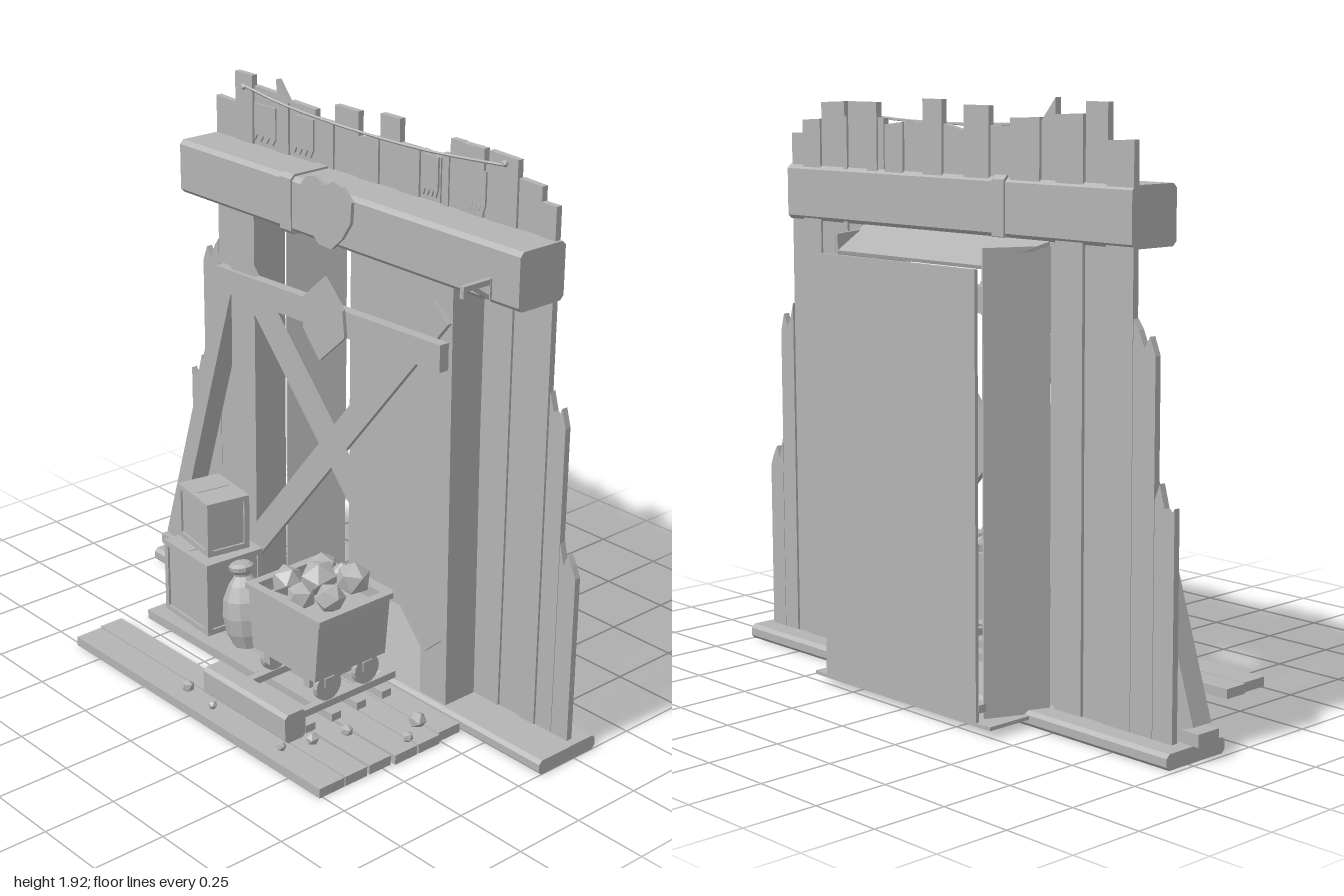
import * as THREE from 'three';

const stone = new THREE.MeshStandardMaterial({ color: 0xb4b4b4, side: THREE.DoubleSide, flatShading: true });
stone.name = 'plain grey';

export function createModel() {
  const root = new THREE.Group();
  root.name = 'mineEntrance';

  const add = (name, geo, x = 0, y = 0, z = 0, parent = root) => {
    const m = new THREE.Mesh(geo, stone);
    m.name = name;
    m.position.set(x, y, z);
    parent.add(m);
    return m;
  };
  // Box given by its limits
  const box = (name, x0, x1, y0, y1, z0, z1, parent = root) =>
    add(name, new THREE.BoxGeometry(x1 - x0, y1 - y0, z1 - z0), (x0 + x1) / 2, (y0 + y1) / 2, (z0 + z1) / 2, parent);
  // Upright outline in x and y with a thickness in z
  const plate = (name, pts, z0, z1) => {
    const shape = new THREE.Shape(pts.map(p => new THREE.Vector2(p[0], p[1])));
    return add(name, new THREE.ExtrudeGeometry(shape, { depth: z1 - z0, bevelEnabled: false }), 0, 0, z0);
  };
  // Timber between two points in a plane of constant z
  const timber = (name, ax, ay, bx, by, width, z0, z1) => {
    const m = add(name, new THREE.BoxGeometry(Math.hypot(bx - ax, by - ay), width, z1 - z0), (ax + bx) / 2, (ay + by) / 2, (z0 + z1) / 2);
    m.rotation.z = Math.atan2(by - ay, bx - ax);
    return m;
  };
  // Chamfered bar along x
  const bar = (name, x0, x1, y0, y1, z0, z1, c) => {
    const s = new THREE.Shape([[-z1 + c, y0], [-z0 - c, y0], [-z0, y0 + c], [-z0, y1 - c], [-z0 - c, y1], [-z1 + c, y1], [-z1, y1 - c], [-z1, y0 + c]]
      .map(p => new THREE.Vector2(p[0], p[1])));
    const g = new THREE.ExtrudeGeometry(s, { depth: x1 - x0, bevelEnabled: false });
    g.rotateY(Math.PI / 2);
    return add(name, g, x0, 0, 0);
  };

  // Ground sill and floor planks
  bar('sill', -0.98, 1, 0, 0.05, -0.345, -0.09, 0.012);
  [[-0.63, 0.65, -0.088, 0.008], [-0.63, 0.66, 0.012, 0.105], [-0.63, 0.66, 0.11, 0.205], [-0.01, 0.65, 0.215, 0.305],
    [-0.64, 0.65, 0.315, 0.405], [-0.63, 0.65, 0.41, 0.512]].forEach(([a, b, c, d]) => box('floorPlank', a, b, 0, 0.033, c, d));

  // Wall boards: x limits, bottom, height at each top corner
  const tall = [[-0.76, -0.65, 0.05, 1.805, 1.8], [-0.65, -0.56, 0.05, 1.91, 1.91], [-0.555, -0.44, 0.05, 1.875, 1.87],
    [-0.435, -0.375, 1.5, 1.92, 1.85], [-0.372, -0.245, 1.5, 1.86, 1.855], [-0.243, -0.152, 1.5, 1.83, 1.83],
    [-0.15, -0.037, 1.5, 1.89, 1.89], [-0.035, 0.063, 1.5, 1.81, 1.83], [0.065, 0.155, 1.5, 1.905, 1.905],
    [0.157, 0.25, 1.5, 1.83, 1.83], [0.252, 0.34, 1.5, 1.83, 1.82], [0.352, 0.38, 1.5, 1.84, 1.84],
    [0.38, 0.43, 1.5, 1.89, 1.89], [0.432, 0.53, 0.05, 1.89, 1.89], [0.532, 0.55, 0.05, 1.84, 1.84],
    [0.55, 0.67, 0.05, 1.89, 1.885], [0.672, 0.765, 0.05, 1.83, 1.825], [0.767, 0.83, 0.05, 1.78, 1.78]];
  tall.forEach(([a, b, y, l, r], i) => {
    const z = -0.268 + (i % 2) * 0.006;
    plate('wallBoard', [[a, y], [b, y], [b, r], [a, l]], z, z + 0.022);
  });
  // Broken outer boards with splintered tops
  const splinter = (x0, x1, tops) => plate('brokenBoard',
    [[x0, 0.05], [x1, 0.05], ...tops.map((t, i) => [x1 + (x0 - x1) * i / (tops.length - 1), t])], -0.268, -0.246);
  splinter(-0.93, -0.852, [0.77, 0.82, 0.75, 0.73, 0.755]);
  splinter(-0.85, -0.762, [1.29, 1.26, 1.21, 1.245, 1.19]);
  splinter(0.832, 0.9, [1.1, 1.16, 1.12, 1.14, 1.2]);
  splinter(0.902, 0.97, [0.62, 0.66, 0.69, 0.65, 0.72]);
  // Splintered patches above the beam
  [[-0.55, -0.44], [-0.345, -0.25], [0.27, 0.335], [0.48, 0.54]].forEach(([a, b]) => {
    const teeth = Array.from({ length: 8 }, (_, i) => [a + (b - a) * i / 7, 1.69 + (i % 2) * 0.025]);
    plate('splinteredPatch', [...teeth, [b, 1.82], [a, 1.82]], -0.246, -0.239);
  });
  // Sagging rope
  const rope = new THREE.CatmullRomCurve3([[-0.6, 1.87], [-0.4, 1.845], [-0.05, 1.83], [0.3, 1.835], [0.62, 1.86]]
    .map(p => new THREE.Vector3(p[0], p[1], -0.235)));
  add('rope', new THREE.TubeGeometry(rope, 16, 0.005, 5));
  [-0.6, 0.62].forEach(x => add('ropeKnot', new THREE.IcosahedronGeometry(0.012), x, 1.865, -0.235));

  // Main beam with strap, plaque and hook
  bar('mainBeam', -0.76, 0.84, 1.49, 1.675, -0.275, -0.085, 0.014);
  bar('beamStrap', -0.23, -0.175, 1.48, 1.682, -0.28, -0.08, 0.014);
  plate('beamPlaque', [[-0.13, 1.6], [-0.09, 1.54], [-0.03, 1.49], [0.03, 1.485], [0.08, 1.53], [0.12, 1.59], [0.125, 1.66],
    [0.08, 1.7], [0.04, 1.71], [0, 1.69], [-0.05, 1.71], [-0.09, 1.7], [-0.125, 1.66]], -0.086, -0.072);
  box('hookArm', 0.712, 0.728, 1.55, 1.568, -0.09, 0.03);
  box('hookTip', 0.712, 0.728, 1.53, 1.568, 0.015, 0.03);
  box('hookPlate', 0.71, 0.73, 1.5, 1.57, -0.09, -0.078);
  add('hookStrut', new THREE.BoxGeometry(0.012, 0.012, 0.085), 0.72, 1.53, -0.05).rotation.x = -0.6;

  // Posts
  plate('rightPost', [[-0.535, 0.05], [-0.4, 0.05], [-0.4, 1.49], [-0.52, 1.49]], -0.245, -0.11);
  plate('leftPost', [[0.44, 0.05], [0.56, 0.05], [0.545, 1.49], [0.42, 1.49]], -0.245, -0.11);

  // Crossed braces, lintel and diamond plate
  timber('braceBehind', 0.51, 1.4, -0.45, 0.22, 0.09, -0.11, -0.092);
  timber('braceFront', -0.49, 1.38, 0.525, 0.265, 0.09, -0.092, -0.07);
  plate('lintel', [[-0.54, 1.205], [0.55, 1.225], [0.55, 1.315], [-0.54, 1.29]], -0.092, -0.055);
  plate('diamondPlate', [[0.01, 1.11], [0.13, 1.22], [0.12, 1.31], [0.03, 1.4], [-0.07, 1.31], [-0.07, 1.2]], -0.055, -0.042);

  // Leaning prop at the side
  timber('leaningProp', -0.945, 0.095, -0.575, 1.285, 0.07, -0.23, -0.15);
  box('propBracket', -0.58, -0.53, 1.28, 1.42, -0.24, -0.17);
  box('propFoot', -1, -0.89, 0.05, 0.09, -0.23, -0.14);

  // Tunnel recess
  box('tunnelFloor', -0.41, 0.43, 0.025, 0.037, -0.51, -0.3);
  box('tunnelBack', -0.35, 0.37, 0.037, 1.42, -0.512, -0.5);
  box('tunnelBackRail', -0.34, 0.36, 0.06, 0.085, -0.49, -0.46);
  [-1, 1].forEach(s => {
    const wall = add('tunnelWall', new THREE.BoxGeometry(0.012, 1.445, 0.215), 0.01 + s * 0.385, 0.757, -0.365);
    wall.rotation.y = s * 0.41;
  });
  const roof = plate('tunnelRoof', [[-0.425, 0], [0.44, 0], [0.355, 0.2], [-0.335, 0.2]], -0.006, 0.006);
  roof.position.set(0, 1.482, -0.27);
  roof.rotation.x = -Math.PI / 2 - 0.34;

  // Crates with raised frames
  const crate = (x, y, z, w, h, d, turn) => {
    const g = new THREE.Group();
    g.name = 'crate';
    g.position.set(x, y, z);
    g.rotation.y = turn;
    root.add(g);
    const t = 0.02, X = w / 2, Z = d / 2;
    box('crateBody', -X + 0.008, X - 0.008, 0, h - 0.008, -Z + 0.008, Z - 0.008, g);
    box('crateLid', -X, -0.002, h - 0.014, h, -Z, Z, g);
    box('crateLid', 0.002, X, h - 0.014, h, -Z, Z, g);
    [-1, 1].forEach(a => {
      [-1, 1].forEach(b => box('crateCorner', a * X - (a > 0 ? t : 0), a * X + (a < 0 ? t : 0), 0, h, b * Z - (b > 0 ? t : 0), b * Z + (b < 0 ? t : 0), g));
      [0, h - t].forEach(y0 => {
        box('crateRail', -X, X, y0, y0 + t, a * Z - (a > 0 ? t : 0), a * Z + (a < 0 ? t : 0), g);
        box('crateRail', a * X - (a > 0 ? t : 0), a * X + (a < 0 ? t : 0), y0, y0 + t, -Z, Z, g);
      });
    });
  };
  crate(-0.458, 0.033, 0.04, 0.265, 0.272, 0.235, -0.07);
  crate(-0.472, 0.306, 0.025, 0.215, 0.2, 0.165, -0.17);

  // Leaning jar
  const jar = [[0, 0], [0.06, 0], [0.078, 0.05], [0.085, 0.11], [0.076, 0.17], [0.052, 0.22], [0.028, 0.25], [0.03, 0.258],
    [0.042, 0.27], [0.044, 0.285], [0.03, 0.295], [0, 0.297]].map(p => new THREE.Vector2(p[0], p[1]));
  add('jar', new THREE.LatheGeometry(jar, 10), -0.2, 0.036, 0.085).rotation.z = 0.17;

  // Rails, sleepers and buffer
  [0.055, 0.32].forEach(x => box('rail', x - 0.013, x + 0.013, 0.06, 0.085, -0.1, 0.36));
  [-0.02, 0.09, 0.2, 0.31].forEach(z => box('sleeper', 0, 0.375, 0.033, 0.06, z - 0.02, z + 0.02));
  bar('buffer', -0.03, 0.385, 0.034, 0.135, 0.34, 0.425, 0.012);

  // Cart: tapered open tub, rim, chassis and wheels
  const cx = 0.185, cz = 0.11;
  const tub = new THREE.BoxGeometry(0.35, 0.215, 0.305);
  const p = tub.attributes.position;
  for (let i = 0; i < p.count; i++) if (p.getY(i) < 0) p.setX(i, p.getX(i) * 0.89);
  tub.clearGroups();
  tub.setIndex(Array.from(tub.index.array).filter((_, i) => i < 12 || i >= 18));
  tub.computeVertexNormals();
  add('cartTub', tub, cx, 0.285, cz);
  box('cartLoadBed', 0.025, 0.345, 0.34, 0.36, -0.03, 0.25);
  [-1, 1].forEach(s => {
    box('cartRim', cx + s * 0.17 - 0.015, cx + s * 0.17 + 0.015, 0.388, 0.408, -0.05, 0.27);
    box('cartRim', 0.015, 0.355, 0.388, 0.408, cz + s * 0.145 - 0.015, cz + s * 0.145 + 0.015);
    box('chassisBeam', cx + s * 0.1 - 0.015, cx + s * 0.1 + 0.015, 0.135, 0.18, -0.03, 0.25);
    const z = cz + s * 0.083;
    const axle = add('axle', new THREE.CylinderGeometry(0.012, 0.012, 0.29, 8), cx, 0.14, z);
    axle.rotation.z = Math.PI / 2;
    [0.055, 0.32].forEach(x => {
      add('wheel', new THREE.CylinderGeometry(0.053, 0.053, 0.02, 16), x, 0.137, z).rotation.z = Math.PI / 2;
      box('axleBox', x - 0.016, x + 0.016, 0.135, 0.17, z - 0.02, z + 0.02);
    });
  });

  // Ore and loose stones
  const rock = (name, x, y, z, r, i) => {
    const m = add(name, new THREE.IcosahedronGeometry(r), x, y, z);
    m.rotation.set(i * 1.3, i * 0.7, i * 2.1);
    return m;
  };
  [[0.09, 0.41, 0.01, 0.055], [0.235, 0.425, 0.005, 0.06], [0.175, 0.435, 0.1, 0.066], [0.275, 0.415, 0.14, 0.052],
    [0.09, 0.415, 0.165, 0.056], [0.195, 0.41, 0.195, 0.05], [0.17, 0.41, -0.01, 0.045]].forEach((o, i) => rock('ore', ...o, i + 1));
  [[0.565, 0.02, 0.034], [0.62, 0.115, 0.022], [0.465, 0.235, 0.024], [0.43, 0.35, 0.026], [0.4, 0.455, 0.02], [0.06, 0.46, 0.018],
    [-0.09, 0.445, 0.025]].forEach(([x, z, r], i) => { rock('pebble', x, 0.048, z, r, i).scale.setScalar(0.9); });
  [[-0.86, 0.022], [-0.815, 0.018], [-0.77, 0.026], [-0.71, 0.02], [-0.66, 0.018]].forEach(([x, r], i) => rock('pebble', x, 0.067, -0.12 - (i % 2) * 0.015, r, i));

  return root;
}
